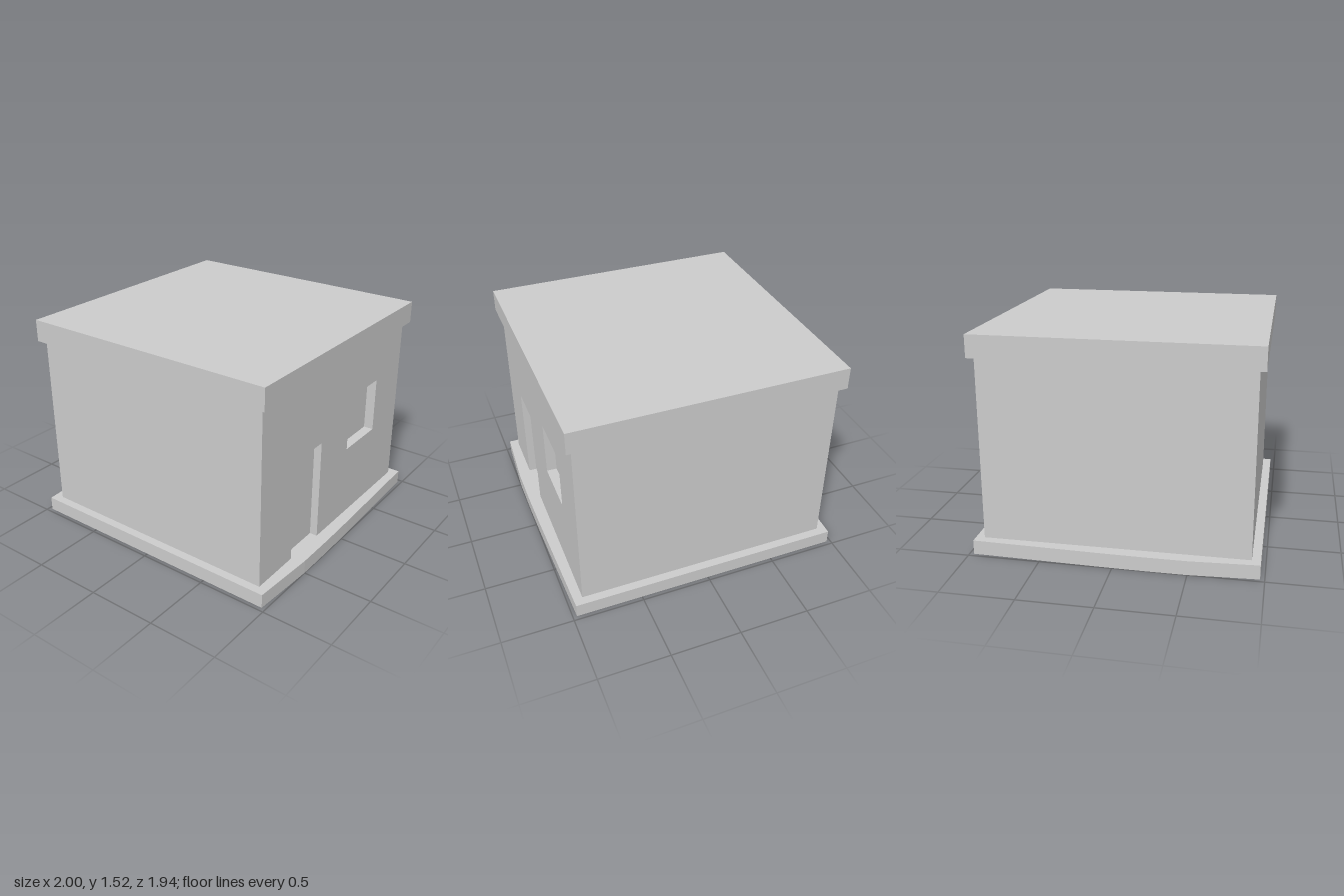
import * as THREE from 'three';

const material = new THREE.MeshStandardMaterial({ color: 0xcccccc, flatShading: true });

function add(group, name, geometry, x = 0, y = 0, z = 0) {
  const mesh = new THREE.Mesh(geometry, material);
  mesh.name = name;
  mesh.position.set(x, y, z);
  group.add(mesh);
  return mesh;
}

const rect = (x0, y0, x1, y1) =>
  [[x0, y0], [x1, y0], [x1, y1], [x0, y1]].map(([x, y]) => new THREE.Vector2(x, y));

export function createModel() {
  const house = new THREE.Group();
  house.name = 'house';

  const floorY = 0.1, eavesY = 1.37, roofY = 1.525;
  const wall = 0.91, roof = 0.95;
  const windowDepth = 0.07, doorDepth = 0.055;
  const wallHeight = eavesY - floorY;

  // Plinth: slab whose two sides bow slightly outwards, [x, z] along one side
  const side = [[0.972, 0.97], [1, 0.5], [1, 0.2], [0.995, -0.1], [0.972, -0.97]];
  const outline = [
    ...side.map(([x, z]) => new THREE.Vector2(x, -z)),
    ...[...side].reverse().map(([x, z]) => new THREE.Vector2(-x, -z)),
  ];
  const plinth = new THREE.ExtrudeGeometry(new THREE.Shape(outline), { depth: floorY, bevelEnabled: false });
  plinth.rotateX(-Math.PI / 2);
  add(house, 'plinth', plinth);

  // Solid body, set back on the +x side behind the facade
  add(house, 'walls', new THREE.BoxGeometry(2 * wall - windowDepth, wallHeight, 2 * wall),
    -windowDepth / 2, floorY + wallHeight / 2, 0);

  // Facade with a door notch and a window hole; shape x runs along -z
  const door = { x0: -0.535, x1: -0.2, top: 0.838 };
  const facade = new THREE.Shape([
    [-wall, floorY], [door.x0, floorY], [door.x0, door.top], [door.x1, door.top],
    [door.x1, floorY], [wall, floorY], [wall, eavesY], [-wall, eavesY],
  ].map(([x, y]) => new THREE.Vector2(x, y)));
  facade.holes.push(new THREE.Path(rect(0.163, 0.634, 0.553, 1.03).reverse()));
  const facadeGeometry = new THREE.ExtrudeGeometry(facade, { depth: windowDepth, bevelEnabled: false });
  facadeGeometry.rotateY(Math.PI / 2);
  add(house, 'facade', facadeGeometry, wall - windowDepth);

  // Door leaf, recessed a little less than the window
  const leaf = windowDepth - doorDepth;
  add(house, 'door', new THREE.BoxGeometry(leaf, door.top - floorY, door.x1 - door.x0),
    wall - windowDepth + leaf / 2, (door.top + floorY) / 2, -(door.x0 + door.x1) / 2);

  // Flat overhanging roof
  add(house, 'roof', new THREE.BoxGeometry(2 * roof, roofY - eavesY, 2 * roof), 0, (roofY + eavesY) / 2, 0);

  return house;
}
